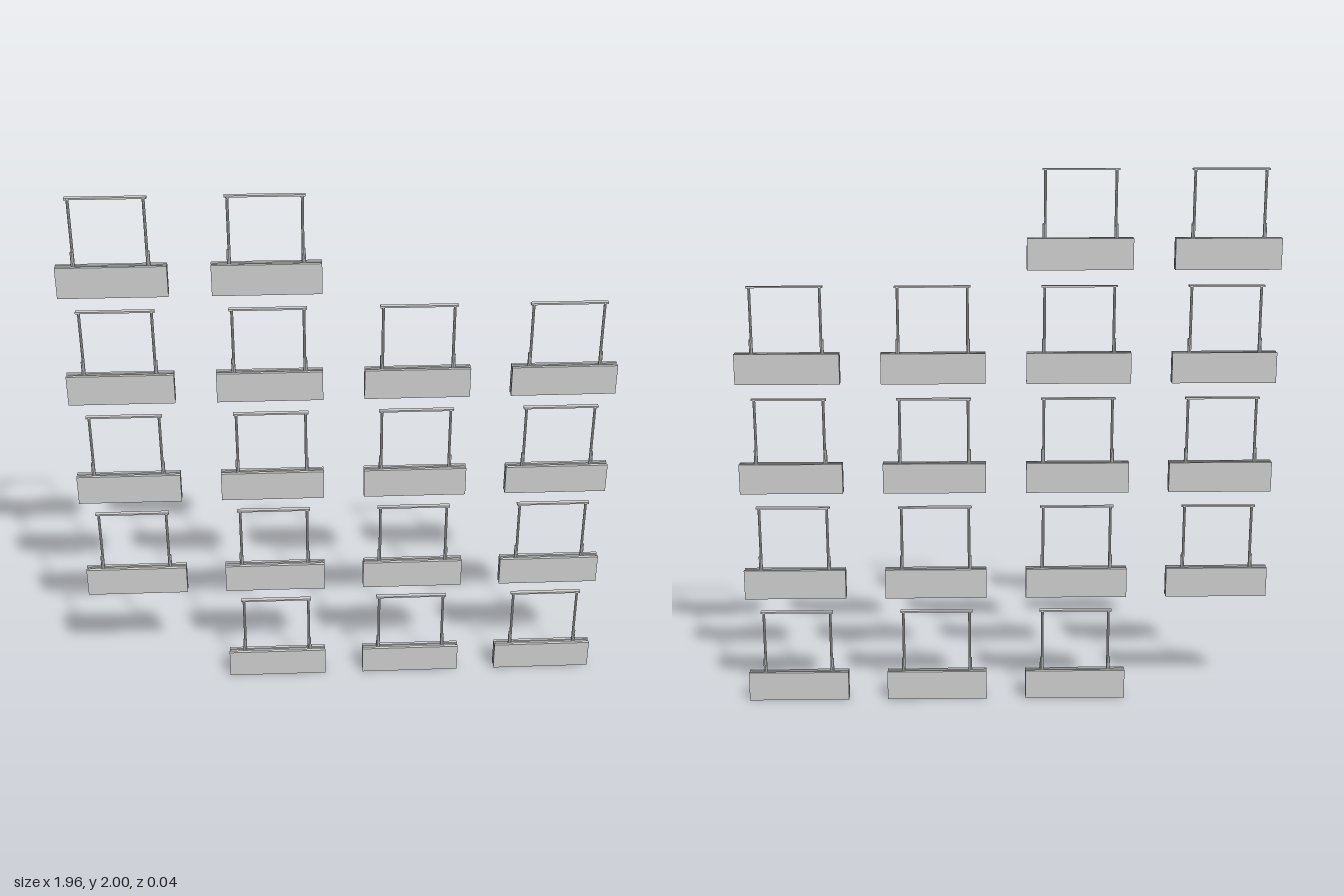
import * as THREE from 'three';

const material = new THREE.MeshStandardMaterial({ color: 0xcccccc, flatShading: true });

function addBox(parent, name, size, position) {
  const mesh = new THREE.Mesh(new THREE.BoxGeometry(...size), material);
  mesh.name = name;
  mesh.position.set(...position);
  parent.add(mesh);
}

function addPost(parent, name, radius, bottom, top, x) {
  const mesh = new THREE.Mesh(new THREE.CylinderGeometry(radius, radius, top - bottom, 8), material);
  mesh.name = name;
  mesh.position.set(x, (bottom + top) / 2, 0);
  parent.add(mesh);
}

// One hanging sign: two face boards on an inset core, hung by two rods from a bar
function createSign() {
  const sign = new THREE.Group();
  sign.name = 'hangingSign';
  const width = 0.378, height = 0.112, top = 0.355;

  addBox(sign, 'core', [width - 0.01, height - 0.01, 0.016], [0, height / 2, 0]);
  for (const side of [-1, 1]) {
    addBox(sign, side > 0 ? 'frontBoard' : 'backBoard',
      [width, height, 0.012], [0, height / 2, side * 0.0125]);
    // Rod with a wider sleeve where it enters the board
    addPost(sign, 'rod', 0.005, height - 0.01, top - 0.004, side * 0.125);
    addPost(sign, 'rodSleeve', 0.007, height - 0.01, height + 0.05, side * 0.127);
  }
  addBox(sign, 'ceilingBar', [0.272, 0.006, 0.017], [0, top - 0.003, 0]);
  return sign;
}

export function createModel() {
  const model = new THREE.Group();
  model.name = 'hangingSigns';

  // First and last occupied row of each column
  const columns = [
    { x: -0.789, from: 1, to: 4 },
    { x: -0.263, from: 0, to: 4 },
    { x: 0.263, from: 0, to: 3 },
    { x: 0.789, from: 1 - 1, to: 3 },
  ];
  const rowStep = 0.41125;
  for (const { x, from, to } of columns) {
    for (let row = from; row <= to; row++) {
      const sign = createSign();
      sign.position.set(x, row * rowStep, 0);
      model.add(sign);
    }
  }
  return model;
}
